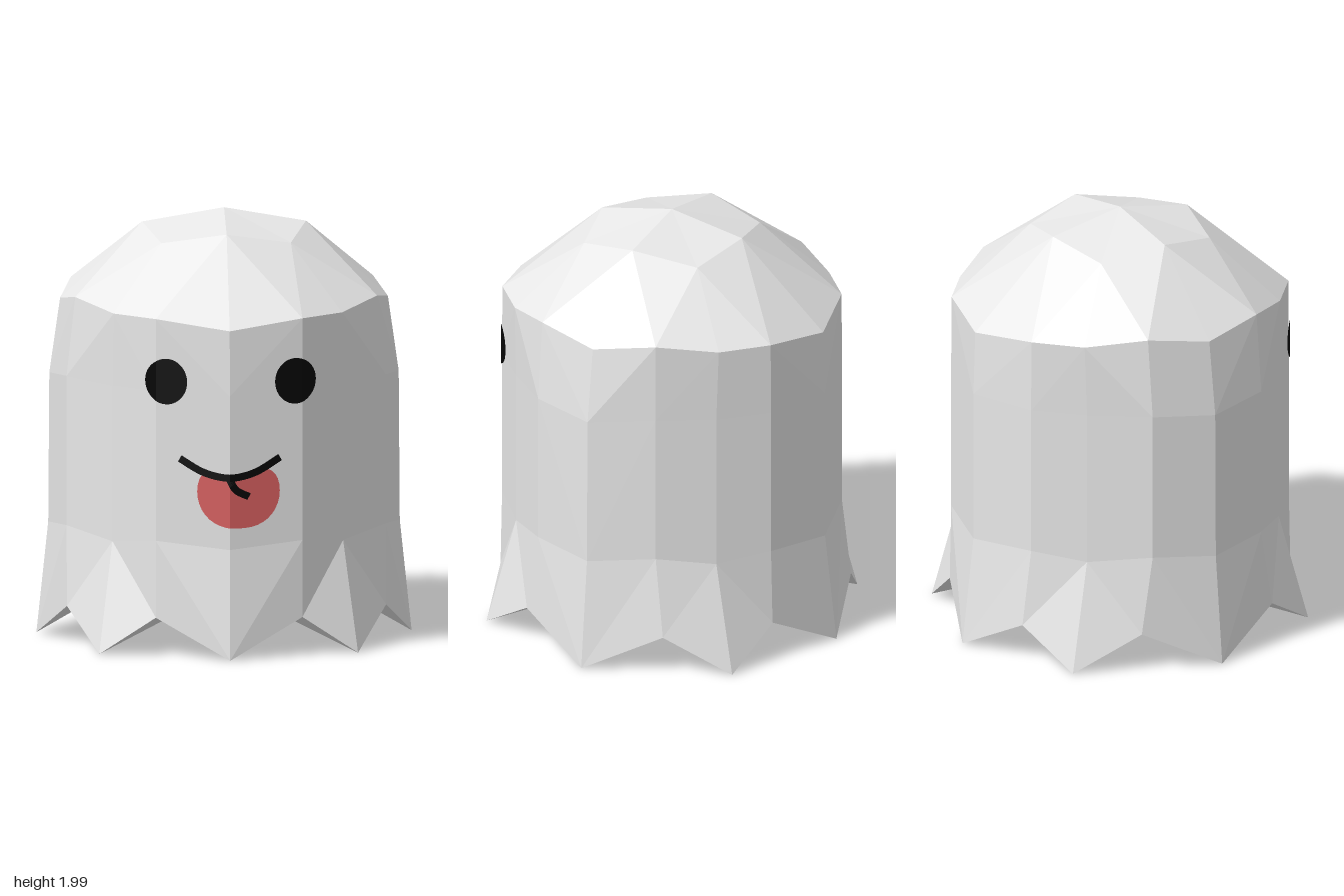
import * as THREE from 'three';

const sheetMat = new THREE.MeshStandardMaterial({ color: 0xf4f4f4, flatShading: true, side: THREE.DoubleSide });
sheetMat.name = 'sheet white';
const blackMat = new THREE.MeshStandardMaterial({ color: 0x050505 });
blackMat.name = 'face black';
const tongueMat = new THREE.MeshStandardMaterial({ color: 0xd86060 });
tongueMat.name = 'tongue red';

// Quarter rings, front (+z) round to side (+x); mirrored into 16 columns
const HEM = [[0, 0.01, 0.87], [0.34, 0.19, 0.72], [0.6, 0.01, 0.65], [0.74, 0.19, 0.36], [0.87, 0.01, 0]];
const KNEE = [[0, 0.52, 0.81], [0.34, 0.55, 0.712], [0.535, 0.52, 0.53], [0.74, 0.56, 0.3], [0.815, 0.53, 0]];
const CHEST = [[0, 1.24, 0.81], [0.34, 1.25, 0.712], [0.535, 1.25, 0.53], [0.74, 1.26, 0.3], [0.81, 1.23, 0]];
const BROW = [[0, 1.545, 0.8], [0.34, 1.59, 0.71], [0.53, 1.59, 0.54], [0.7, 1.63, 0.3], [0.76, 1.58, 0]];
const CROWN = [[0, 1.93, 0.37], [0.3, 1.88, 0.3], [0.38, 1.935, 0]];
const HOLLOW = [[0, 0.28, 0.4], [0.4, 0.28, 0]];

// Mirrors a quarter ring into a full loop
function ring(quarter) {
  const m = quarter.length - 1, n = m * 4;
  return Array.from({ length: n }, (_, k) => {
    const half = k % (2 * m);
    const p = quarter[half <= m ? half : 2 * m - half];
    const sx = k <= 2 * m ? 1 : -1;
    const sz = k <= m || k >= 3 * m ? 1 : -1;
    return [p[0] * sx, p[1], p[2] * sz];
  });
}

function mesh(name, points, material) {
  const geo = new THREE.BufferGeometry();
  geo.setAttribute('position', new THREE.Float32BufferAttribute(points.flat(), 3));
  geo.computeVertexNormals();
  const result = new THREE.Mesh(geo, material);
  result.name = name;
  return result;
}

// Wall between two 16-point rings; folds meet at the diagonal columns' tops
function band(name, low, high) {
  const t = [], n = low.length;
  for (let k = 0; k < n; k++) {
    const a = low[k], b = low[(k + 1) % n], c = high[k], d = high[(k + 1) % n];
    if (k % 4 < 2) t.push(a, b, d, a, d, c);
    else t.push(a, b, c, b, d, c);
  }
  return mesh(name, t, sheetMat);
}

// Faceted dome: 16 columns narrow to 8, then to the apex
function dome(base, crown) {
  const t = [], apex = [0, 2, 0];
  for (let j = 0; j < 8; j++) {
    const r = crown[j], s = crown[(j + 1) % 8];
    const a = base[2 * j], b = base[2 * j + 1], c = base[(2 * j + 2) % 16];
    t.push(a, b, r, b, c, s, b, s, r, r, s, apex);
  }
  return mesh('headDome', t, sheetMat);
}

// Hollow underside: the hem's points slope in to a small raised square
function underside(hem, hollow) {
  const t = [], middle = [0, 0.28, 0];
  for (let q = 0; q < 4; q++) {
    const r = hollow[q], s = hollow[(q + 1) % 4];
    const [a, b, c, d, e] = [0, 1, 2, 3, 4].map((i) => hem[(4 * q + i) % 16]);
    t.push(b, a, r, c, b, r, c, r, s, d, c, s, e, d, s, s, r, middle);
  }
  return mesh('underside', t, sheetMat);
}

// Depth of the creased front of the sheet at a given x
function faceZ(x) {
  const a = Math.abs(x);
  return a < 0.34 ? 0.81 - a * 0.098 / 0.34 : 0.712 - (a - 0.34) * 0.182 / 0.195;
}

// Thin face detail laid on the sheet between an upper and a lower edge
function plate(name, tops, bottoms, lift, material) {
  const put = ([x, y]) => [x, y, faceZ(x) + lift];
  const t = [];
  for (let i = 0; i < tops.length - 1; i++) {
    const a = put(tops[i]), b = put(bottoms[i]), c = put(bottoms[i + 1]), d = put(tops[i + 1]);
    t.push(a, b, c, a, c, d);
  }
  return mesh(name, t, material);
}

// Rounded outline sampled across x, with extra samples on the sheet's creases
function samples(cx, rx) {
  const xs = [-0.34, 0, 0.34].filter((x) => Math.abs(x - cx) < rx);
  for (let i = 0; i <= 20; i++) xs.push(cx - rx * Math.cos(Math.PI * i / 20));
  return xs.sort((p, q) => p - q);
}

function eye(name, cx) {
  const rx = 0.096, ry = 0.107, xs = samples(cx, rx);
  const h = (x) => ry * Math.sqrt(Math.max(0, 1 - ((x - cx) / rx) ** 2));
  return plate(name, xs.map((x) => [x, 1.3 + h(x)]), xs.map((x) => [x, 1.3 - h(x)]), 0.006, blackMat);
}

// Line of even width along a smooth path
function stroke(name, path, width) {
  const curve = new THREE.SplineCurve(path.map(([x, y]) => new THREE.Vector2(x, y)));
  const tops = [], bottoms = [];
  for (let i = 0; i <= 24; i++) {
    const p = curve.getPoint(i / 24), d = curve.getTangent(i / 24);
    const nx = -d.y * width / 2, ny = d.x * width / 2;
    tops.push([p.x + nx, p.y + ny]);
    bottoms.push([p.x - nx, p.y - ny]);
  }
  return plate(name, tops, bottoms, 0.008, blackMat);
}

const smileY = (x) => 0.858 + 1.6 * x * x;

function tongue() {
  const cx = 0.042, rx = 0.192, xs = samples(cx, rx);
  const bulge = (x, power) => Math.sqrt(Math.max(0, 1 - Math.abs((x - cx) / rx) ** power));
  const top = (x) => Math.min(smileY(x), 0.79 + 0.11 * bulge(x, 6));
  const low = (x) => 0.79 - 0.17 * bulge(x, 2.5);
  return plate('tongue', xs.map((x) => [x, top(x)]), xs.map((x) => [x, low(x)]), 0.004, tongueMat);
}

export function createModel() {
  const model = new THREE.Group();
  model.name = 'ghost';
  const hem = ring(HEM), knee = ring(KNEE), chest = ring(CHEST), brow = ring(BROW);

  // Uneven drape at the back
  hem[9][2] = -0.76;
  knee[5][0] = chest[5][0] = 0.7;

  // Draped sheet
  model.add(band('raggedHem', hem, knee), band('lowerSheet', knee, chest), band('upperSheet', chest, brow));
  model.add(dome(brow, ring(CROWN)), underside(hem, ring(HOLLOW)));

  // Face
  model.add(eye('leftEye', 0.308), eye('rightEye', -0.292), tongue());
  model.add(stroke('mouth', [-0.23, -0.12, 0, 0.12, 0.235].map((x) => [x, smileY(x)]), 0.034));
  model.add(stroke('tongueCrease', [[0, 0.85], [0.03, 0.8], [0.09, 0.768]], 0.034));
  return model;
}
